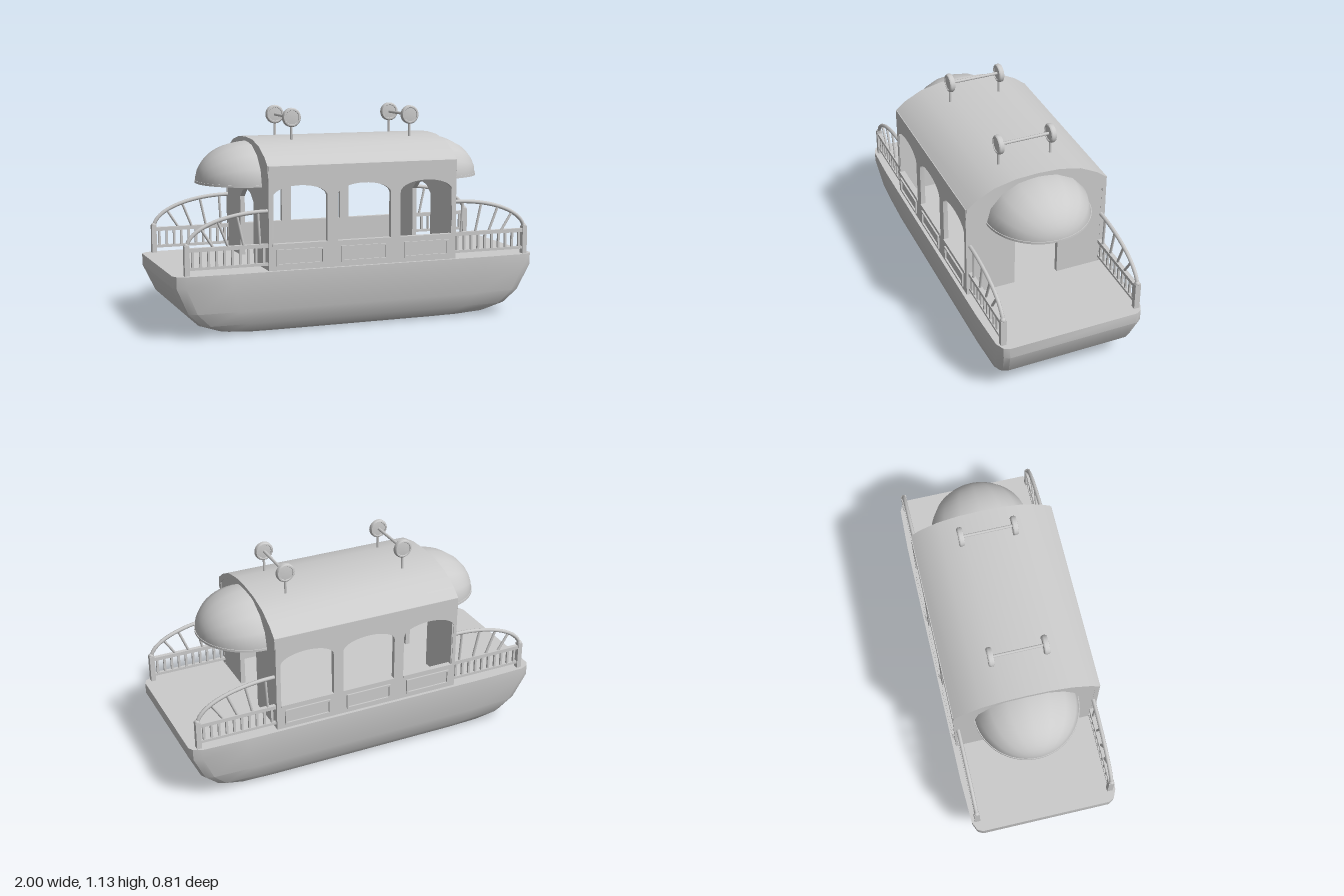
import * as THREE from 'three';
import { toCreasedNormals } from 'three/addons/utils/BufferGeometryUtils.js';

const grey = new THREE.MeshStandardMaterial({ color: 0xcccccc, side: THREE.DoubleSide });
const DECK = 0.33, MID = 0.01, HALF = 0.52; // deck height, cabin centre and half length

function add(parent, name, geo, x = 0, y = 0, z = 0) {
  const mesh = new THREE.Mesh(geo, grey);
  mesh.name = name;
  mesh.position.set(x, y, z);
  parent.add(mesh);
  return mesh;
}
const box = (parent, name, w, h, d, x, y, z) => add(parent, name, new THREE.BoxGeometry(w, h, d), x, y, z);
const extrude = (shape, depth) => toCreasedNormals(
  new THREE.ExtrudeGeometry(shape, { depth, bevelEnabled: false, curveSegments: 10 }), 0.6);

// Round bar between two points
function bar(parent, name, a, b, r) {
  const from = new THREE.Vector3(...a), dir = new THREE.Vector3(...b).sub(from);
  const mesh = add(parent, name, new THREE.CylinderGeometry(r, r, dir.length(), 8));
  mesh.position.copy(from).addScaledVector(dir, 0.5);
  mesh.quaternion.setFromUnitVectors(new THREE.Vector3(0, 1, 0), dir.normalize());
}

// Hull: stacked loops [y, half length, half width] with softened corners
function hullGeometry() {
  const levels = [[0, 0.62, 0.28], [0.02, 0.75, 0.33], [0.06, 0.86, 0.36], [0.13, 0.935, 0.38],
    [0.27, 1, 0.403], [DECK, 1, 0.405]];
  const corner = [[1, 0.86], [0.985, 0.93], [0.94, 0.98], [0.7, 1]];
  const back = [...corner].reverse();
  const plan = [...corner, ...back.map(([x, z]) => [-x, z]),
    ...corner.map(([x, z]) => [-x, -z]), ...back.map(([x, z]) => [x, -z])];
  const n = plan.length, pos = [], idx = [];
  for (const [y, l, w] of levels) for (const [x, z] of plan) pos.push(x * l, y, z * w);
  for (let j = 0; j < levels.length - 1; j++) {
    for (let i = 0; i < n; i++) {
      const a = j * n + i, b = j * n + (i + 1) % n;
      idx.push(a, a + n, b, b, a + n, b + n);
    }
  }
  const top = (levels.length - 1) * n;
  for (let i = 1; i < n - 1; i++) {
    idx.push(0, i, i + 1);
    idx.push(top, top + i + 1, top + i);
  }
  const geo = new THREE.BufferGeometry();
  geo.setAttribute('position', new THREE.Float32BufferAttribute(pos, 3));
  geo.setIndex(idx);
  return toCreasedNormals(geo, 0.5);
}

// Arched opening
function arch(path, cx, half, bottom, spring, rise) {
  path.moveTo(cx - half, bottom);
  path.lineTo(cx + half, bottom);
  path.lineTo(cx + half, spring);
  path.absellipse(cx, spring, half, rise, 0, Math.PI);
  path.lineTo(cx - half, bottom);
  return path;
}

function cabin() {
  const g = new THREE.Group();
  g.name = 'cabin';
  const windows = [-0.343, 0.008, 0.358];

  // Side walls with three arched windows and framed panels below
  const wall = new THREE.Shape();
  wall.moveTo(MID - HALF, DECK);
  wall.lineTo(MID + HALF, DECK);
  wall.lineTo(MID + HALF, 0.86);
  wall.lineTo(MID - HALF, 0.86);
  for (const x of windows) wall.holes.push(arch(new THREE.Path(), x, 0.148, 0.465, 0.7, 0.06));
  for (const s of [1, -1]) {
    add(g, 'sideWall', extrude(wall, 0.025), 0, 0, s > 0 ? 0.362 : -0.387);
    for (const x of windows) {
      for (const y of [0.358, 0.432]) box(g, 'panelFrame', 0.255, 0.01, 0.012, x, y, s * 0.39);
      for (const dx of [-0.123, 0.123]) box(g, 'panelFrame', 0.01, 0.074, 0.012, x + dx, 0.395, s * 0.39);
      box(g, 'windowSill', 0.296, 0.012, 0.03, x, 0.46, s * 0.376);
    }
  }

  // Roof arc, and end walls filling it, each with an arched doorway
  const curve = [[0.387, 0.8], [0.383, 0.86], [0.33, 0.902], [0.235, 0.95], [0.12, 0.975], [0, 0.981]];
  const across = [...curve, ...curve.slice(0, -1).reverse().map(([z, y]) => [-z, y])];
  const inner = across.map(([z, y]) => [z * 0.94, y - 0.022]).reverse();
  const roof = new THREE.Shape([...across, ...inner].map(p => new THREE.Vector2(...p)));
  add(g, 'roof', extrude(roof, 2 * HALF + 0.006).rotateY(Math.PI / 2), MID - HALF - 0.003, 0, 0);

  const end = new THREE.Shape();
  end.moveTo(-0.12, DECK);
  end.lineTo(-0.385, DECK);
  for (const [z, y] of [...across].reverse()) end.lineTo(z * 0.99, y - 0.006);
  end.lineTo(0.385, DECK);
  end.lineTo(0.12, DECK);
  end.lineTo(0.12, 0.65);
  for (const [z, y] of [[0.07, 0.69], [0, 0.705], [-0.07, 0.69], [-0.12, 0.65]]) end.lineTo(z, y);
  for (const x of [MID - HALF + 0.001, MID + HALF - 0.026])
    add(g, 'endWall', extrude(end, 0.025).rotateY(Math.PI / 2), x, 0, 0);
  return g;
}

// Hollow quarter-dome canopy facing +x
function canopy() {
  const g = new THREE.Group();
  g.name = 'canopy';
  const turn = new THREE.Matrix4().set(0, 1, 0, 0, 0, 0, 1, 0, 1, 0, 0, 0, 0, 0, 0, 1);
  const shell = (name, r, h) => add(g, name,
    new THREE.SphereGeometry(1, 8, 12, 0, Math.PI, 0, Math.PI / 2).applyMatrix4(turn).scale(r, h, r), 0, 0.752, 0);
  shell('canopyShell', 0.274, 0.208);
  shell('canopyLining', 0.258, 0.192);
  const rim = new THREE.Shape();
  rim.absarc(0, 0, 0.277, -Math.PI / 2, Math.PI / 2);
  rim.absarc(0, 0, 0.257, Math.PI / 2, -Math.PI / 2, true);
  const geo = new THREE.ExtrudeGeometry(rim, { depth: 0.012, bevelEnabled: false, curveSegments: 24 });
  add(g, 'canopyRim', toCreasedNormals(geo.rotateX(-Math.PI / 2), 0.6), 0, 0.743, 0);
  return g;
}

// Deck railing running towards +x from the cabin wall
function railing() {
  const g = new THREE.Group();
  g.name = 'railing';
  const len = 0.428;
  const archY = u => 0.465 + 0.168 * Math.sqrt(Math.max(0, 1 - (u / 0.42) ** 2));
  box(g, 'railingPost', 0.026, 0.15, 0.03, len - 0.008, DECK + 0.075, 0);
  add(g, 'postCap', new THREE.SphereGeometry(0.015, 10, 6), len - 0.008, 0.48, 0);
  box(g, 'handRail', len, 0.02, 0.022, len / 2, 0.458, 0);
  box(g, 'bottomRail', len, 0.014, 0.018, len / 2, 0.363, 0);
  for (let i = 0; i < 10; i++) box(g, 'baluster', 0.012, 0.09, 0.012, 0.02 + i * 0.041, 0.408, 0);
  const pts = [];
  for (let i = 0; i <= 10; i++) {
    const u = 0.42 * Math.sin(i / 10 * Math.PI / 2);
    pts.push(new THREE.Vector3(u, archY(u), 0));
  }
  add(g, 'archRail', new THREE.TubeGeometry(new THREE.CatmullRomCurve3(pts), 24, 0.0105, 8));
  for (const [a, b] of [[0.28, 0.345], [0.205, 0.26], [0.125, 0.16], [0.04, 0.05]])
    bar(g, 'archSpoke', [a, 0.46, 0], [b, archY(b), 0], 0.007);
  return g;
}

// Pair of round lamps on posts joined by a crossbar
function lampPair() {
  const g = new THREE.Group();
  g.name = 'lampPair';
  const profile = [[0, 0.011], [0.036, 0.011], [0.038, 0.015], [0.045, 0.014], [0.05, 0.007],
    [0.05, -0.007], [0.045, -0.014], [0.038, -0.015], [0.036, -0.011], [0, -0.011]];
  const disc = new THREE.LatheGeometry(profile.map(p => new THREE.Vector2(...p)).reverse(), 24).rotateX(Math.PI / 2);
  for (const z of [-0.142, 0.142]) {
    add(g, 'lamp', toCreasedNormals(disc, 0.7), 0, 1.085, z);
    bar(g, 'lampPost', [0, 0.95, z], [0, 1.05, z], 0.007);
  }
  bar(g, 'lampCrossbar', [0, 1.085, -0.142], [0, 1.085, 0.142], 0.008);
  return g;
}

export function createModel() {
  const model = new THREE.Group();
  model.name = 'riverBoat';
  add(model, 'hull', hullGeometry());
  model.add(cabin());
  for (const s of [1, -1]) {
    const dome = canopy();
    dome.position.x = MID + s * 0.515;
    dome.rotation.y = s > 0 ? 0 : Math.PI;
    model.add(dome);
    for (const z of [0.365, -0.365]) {
      const rail = railing();
      rail.position.set(MID + s * HALF, 0, z);
      rail.rotation.y = s > 0 ? 0 : Math.PI;
      model.add(rail);
    }
  }
  for (const x of [-0.305, 0.365]) {
    const lamps = lampPair();
    lamps.position.x = x;
    model.add(lamps);
  }
  return model;
}
